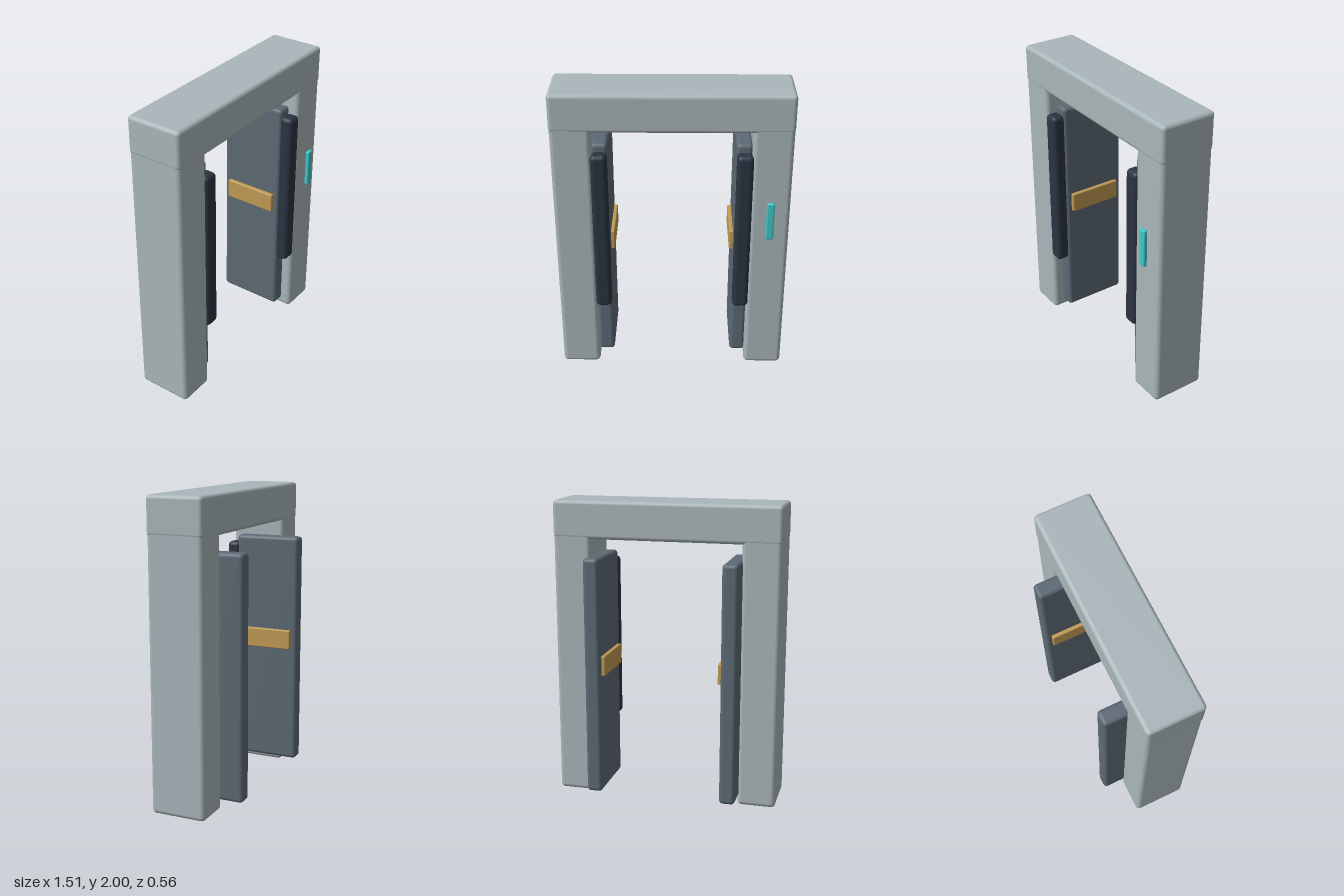
import * as THREE from 'three';
import { RoundedBoxGeometry } from 'three/addons/geometries/RoundedBoxGeometry.js';

const mat = (name, color) => {
  const m = new THREE.MeshStandardMaterial({ color });
  m.name = name;
  return m;
};

// Rounded box given by its extents on each axis
function block(name, material, [x0, x1], [y0, y1], [z0, z1], radius) {
  const geo = new RoundedBoxGeometry(x1 - x0, y1 - y0, z1 - z0, 4, radius);
  const mesh = new THREE.Mesh(geo, material);
  mesh.position.set((x0 + x1) / 2, (y0 + y1) / 2, (z0 + z1) / 2);
  mesh.name = name;
  return mesh;
}

export function createModel() {
  const frameGrey = mat('frame grey', 0xa9b6ba);
  const doorSlate = mat('door slate', 0x5c6974);
  const sealDark = mat('seal dark', 0x2b3441);
  const handleBrass = mat('handle brass', 0xc09a54);
  const panelCyan = mat('panel cyan', 0x40c8c8);

  const model = new THREE.Group();
  model.name = 'doorway';

  // Beam across the top, a hair larger than the posts
  model.add(block('topBeam', frameGrey, [-0.755, 0.755], [1.75, 2], [-0.135, 0.24], 0.026));

  for (const side of [-1, 1]) {
    const label = side > 0 ? 'left' : 'right';
    const span = (a, b) => (side > 0 ? [a, b] : [-b, -a]);

    // Post of the frame
    model.add(block(label + 'Post', frameGrey, span(0.5, 0.753), [0, 1.85], [-0.133, 0.238], 0.03));

    // Opened door leaf with its front seal and push bar
    const door = new THREE.Group();
    door.name = label + 'Door';
    door.add(
      block('doorLeaf', doorSlate, span(0.402, 0.507), [0.057, 1.647], [-0.28, 0.17], 0.026),
      block('doorSeal', sealDark, span(0.405, 0.511), [0.475, 1.597], [0.155, 0.248], 0.03),
      block('pushBar', handleBrass, span(0.377, 0.415), [0.863, 0.998], [-0.237, 0.13], 0.008),
    );
    model.add(door);
  }

  // Small control panel in front of one post
  model.add(block('controlPanel', panelCyan, [0.6, 0.65], [1.027, 1.287], [0.252, 0.28], 0.01));

  return model;
}
